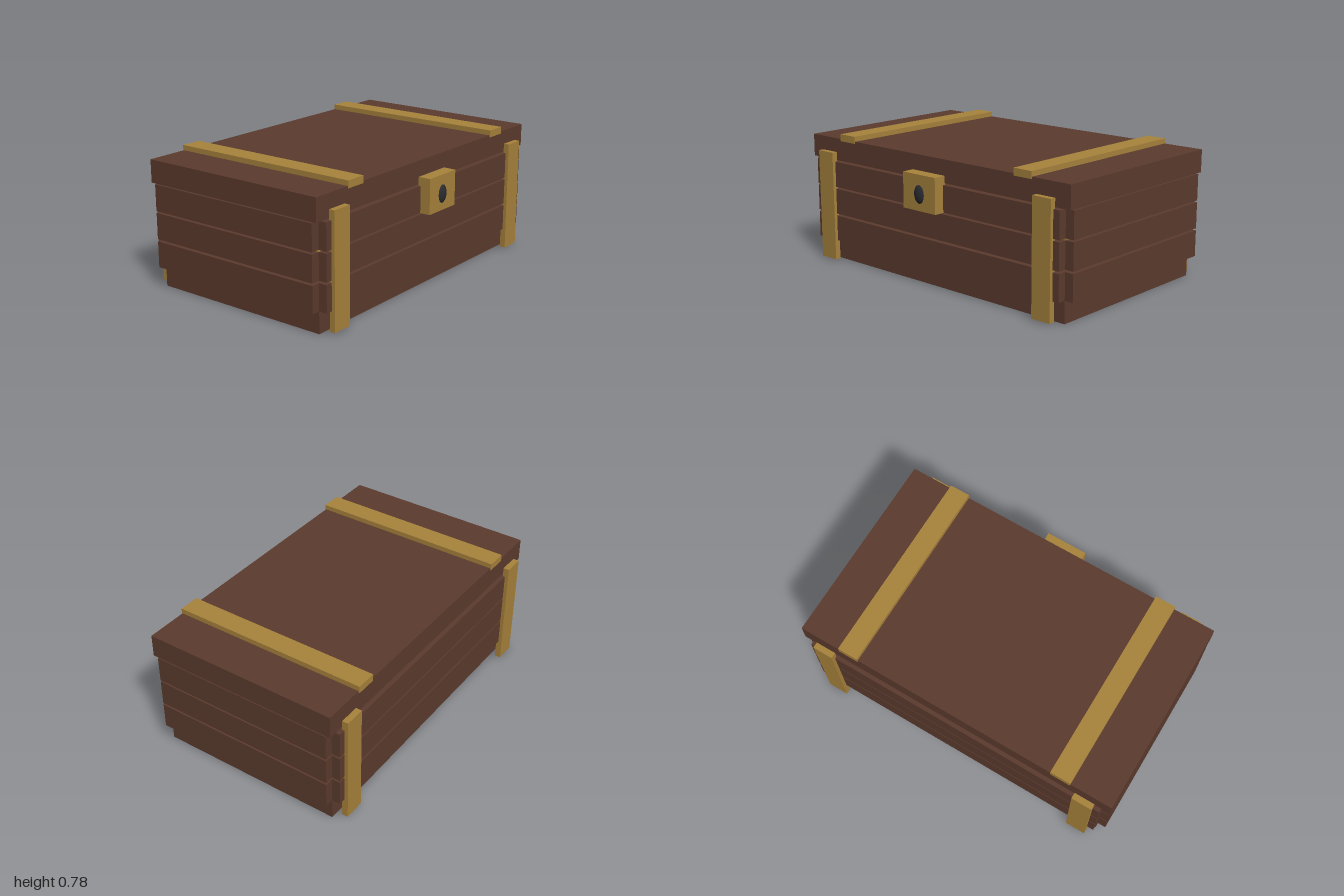
import * as THREE from 'three';

export function createModel() {
  const model = new THREE.Group();
  const mat = (name, color) => {
    const m = new THREE.MeshStandardMaterial({ color });
    m.name = name;
    return m;
  };
  const wood = mat('dark wood', 0x5c3b2e);
  const brass = mat('brass', 0xa8833c);
  const iron = mat('black iron', 0x2a2c32);

  const add = (name, geometry, material, x, y, z) => {
    const mesh = new THREE.Mesh(geometry, material);
    mesh.name = name;
    mesh.position.set(x, y, z);
    model.add(mesh);
    return mesh;
  };
  // Box given by its lower and upper limits on each axis
  const box = (name, material, [x0, x1], [y0, y1], [z0, z1]) =>
    add(name, new THREE.BoxGeometry(x1 - x0, y1 - y0, z1 - z0), material,
      (x0 + x1) / 2, (y0 + y1) / 2, (z0 + z1) / 2);

  const innerX = 0.947;
  const back = -0.588, front = 0.536;
  const board = 0.05;

  // Floor block
  box('floor', wood, [-innerX, innerX], [0, 0.127], [back, front]);

  // Three courses of boards with open gaps and notched corners
  for (const y of [[0.127, 0.281], [0.294, 0.448], [0.459, 0.613]]) {
    box('frontBoard', wood, [-innerX, innerX], y, [front, front + board]);
    box('backBoard', wood, [-innerX, innerX], y, [back - board, back]);
    box('leftBoard', wood, [innerX, 1], y, [back, front]);
    box('rightBoard', wood, [-1, -innerX], y, [back, front]);
  }

  // Lid
  box('lid', wood, [-1, 1], [0.619, 0.752], [-0.615, 0.565]);

  // Brass bands on the lid and upright straps at front and back
  for (const s of [-1, 1]) {
    const span = (a, b) => (s > 0 ? [a, b] : [-b, -a]);
    box('lidBand', brass, span(0.622, 0.746), [0.74, 0.782], [-0.62, 0.569]);
    box('frontStrap', brass, span(0.782, 0.906), [0.01, 0.67], [0.572, 0.606]);
    box('backStrap', brass, span(0.782, 0.906), [0.01, 0.67], [-0.66, -0.624]);
  }

  // Lock plate with a domed oval keyhole
  box('lockPlate', brass, [-0.125, 0.125], [0.457, 0.663], [0.572, 0.648]);
  add('keyhole', new THREE.SphereGeometry(1, 24, 16), iron, 0, 0.552, 0.64)
    .scale.set(0.041, 0.057, 0.022);

  // Round brass contents standing on the floor
  const drum = new THREE.CylinderGeometry(0.09, 0.09, 0.18, 24);
  for (const x of [-0.345, 0.112, 0.57])
    for (const z of [-0.312, -0.025, 0.262])
      add('drum', drum, brass, x, 0.217, z);

  return model;
}
